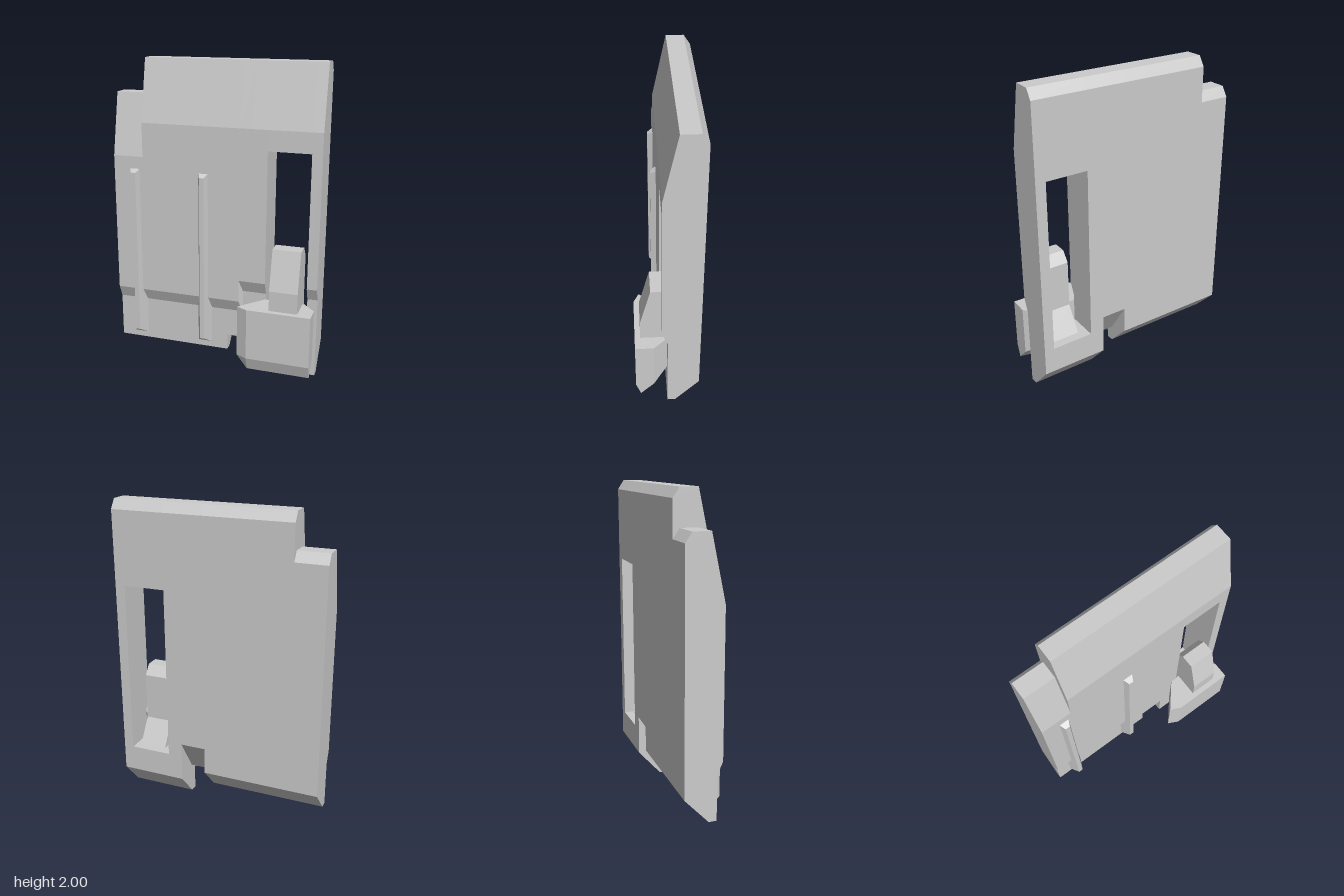
import * as THREE from 'three';
import { ConvexGeometry } from 'three/addons/geometries/ConvexGeometry.js';

const material = new THREE.MeshStandardMaterial({ color: 0xcccccc, flatShading: true });

function addMesh(parent, name, geometry) {
  const mesh = new THREE.Mesh(geometry, material);
  mesh.name = name;
  parent.add(mesh);
  return mesh;
}

// Extrude a [z, y] side profile along x from x0 to x1
function strip(profile, x0, x1) {
  const shape = new THREE.Shape(profile.map(([z, y]) => new THREE.Vector2(-z, y)));
  const geometry = new THREE.ExtrudeGeometry(shape, { depth: x1 - x0, bevelEnabled: false });
  return geometry.rotateY(Math.PI / 2).translate(x0, 0, 0);
}

const hull = (points) => new ConvexGeometry(points.map((p) => new THREE.Vector3(...p)));

// Panel outline pieces, all sharing the same bevels
const BACK = -0.2, FRONT = 0.035;
const topEdge = (top) => [[FRONT, top - 0.4], [-0.05, top], [-0.16, top], [BACK, top - 0.06]];
const bottomEdge = (bottom, rise) => [[BACK, bottom + rise], [-0.05, bottom], [0, bottom]];
const step = (y) => [[0, y - 0.08], [FRONT, y]];

export function createModel() {
  const model = new THREE.Group();

  // Flat panel, made of full-height strips side by side
  const panel = new THREE.Group();
  panel.name = 'panel';
  model.add(panel);
  const strips = [
    // name, x0, x1, top, bottom, bottom bevel rise, step height
    ['loweredShoulder', -0.68, -0.48, 1.78, 0.095, 0.16, 0.465],
    ['mainPanel', -0.48, 0.085, 2, 0.095, 0.16, 0.465],
    ['notchLeftPanel', 0.085, 0.17, 2, 0.2, 0.23, 0.465],
    ['notchRightPanel', 0.17, 0.25, 2, 0.2, 0.23, 0.61],
    ['windowInnerJamb', 0.25, 0.345, 2, 0, 0.17, 0.61],
    ['windowOuterJamb', 0.615, 0.68, 2, 0, 0.17, 0.61],
  ];
  for (const [name, x0, x1, top, bottom, rise, stepY] of strips) {
    addMesh(panel, name, strip([...topEdge(top), ...bottomEdge(bottom, rise), ...step(stepY)], x0, x1));
  }

  // Panel above and below the window
  addMesh(panel, 'windowHead', strip([...topEdge(2), [BACK, 1.47], [FRONT, 1.47]], 0.345, 0.615));
  addMesh(panel, 'windowSill', strip([...bottomEdge(0, 0.17), [0, 0.34], [BACK, 0.34]], 0.345, 0.615));

  // Slanted end of the raised face where the step changes height
  addMesh(panel, 'stepReturn', hull([
    [0.17, 0.61, FRONT], [0.17, 0.465, FRONT], [0.17, 0.385, 0],
    [0.17, 0.53, 0], [0.19, 0.385, 0], [0.19, 0.53, 0],
  ]));

  // Two tapered vertical ribs
  for (const x of [-0.535, -0.07]) {
    const points = [];
    for (const s of [-1, 1]) {
      points.push([s * 0.048, 0.135, 0], [s * 0.015, 0.18, 0.07],
        [s * 0.015, 1.28, 0.07], [s * 0.048, 1.32, 0]);
    }
    addMesh(model, 'rib', hull(points)).position.x = x;
  }

  // Faceted block at the lower corner
  addMesh(model, 'latchBlock', hull([
    // top outline
    [0.2, 0.49, 0.165], [0.27, 0.49, 0.2], [0.675, 0.49, 0.2],
    [0.675, 0.49, 0.085], [0.6, 0.49, 0], [0.34, 0.49, 0],
    // lower edge of the upright faces
    [0.2, 0.155, 0.165], [0.27, 0.155, 0.2], [0.675, 0.155, 0.2],
    [0.675, 0.16, 0.085], [0.6, 0.23, 0], [0.34, 0.135, 0],
    // bottom edge
    [0.27, 0.07, 0.17], [0.675, 0.07, 0.17],
  ]));

  // Upright tongue, with a foot sloping back onto the sill
  addMesh(model, 'latchTongue', strip([
    [0.165, 0.45], [0.165, 0.62], [0.1, 0.875], [0.01, 0.875],
    [-0.04, 0.81], [-0.04, 0.5], [-0.14, 0.34], [0.02, 0.34],
  ], 0.405, 0.585));

  return model;
}
